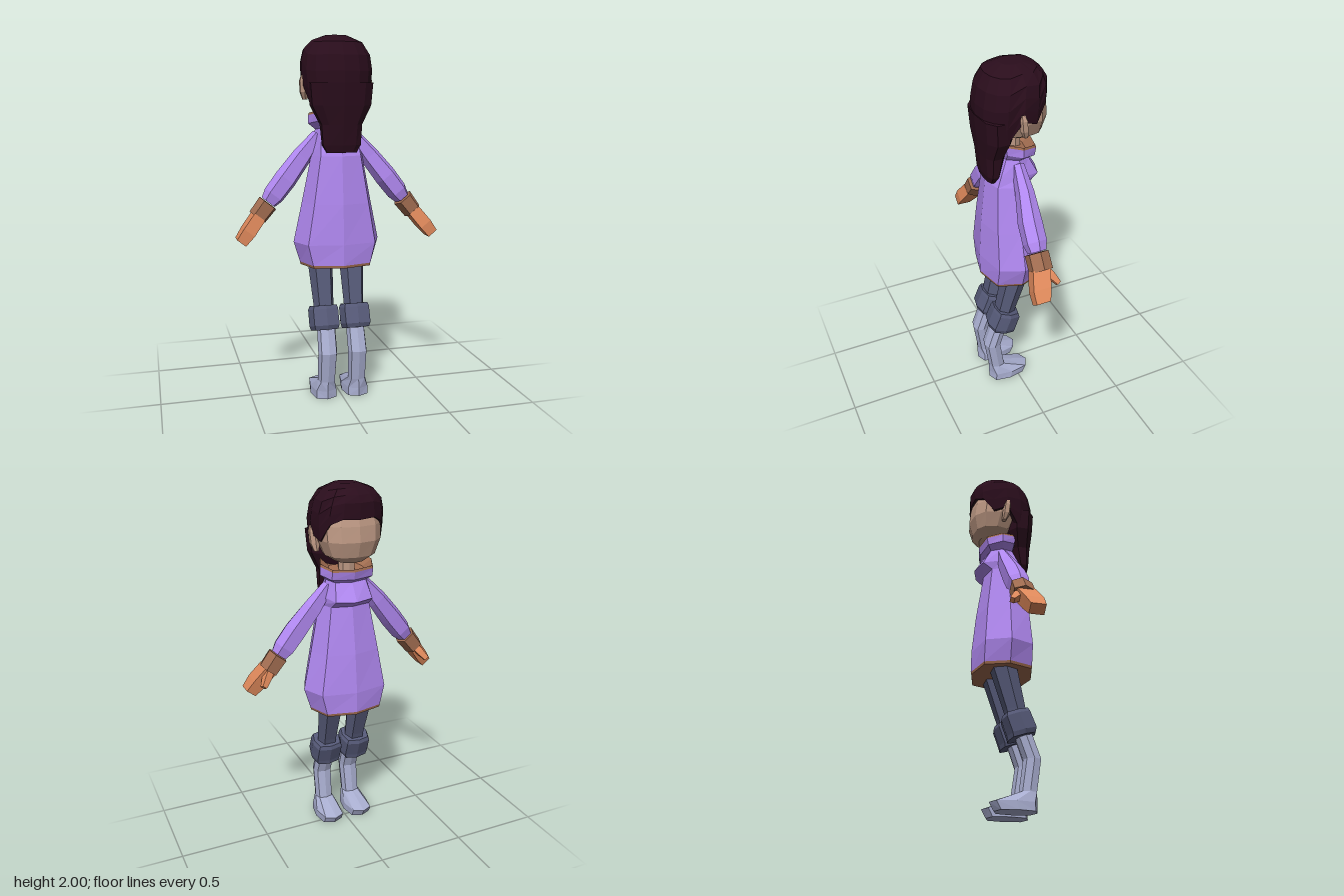
import * as THREE from 'three';

const mat = (color) => new THREE.MeshStandardMaterial({ color, flatShading: true, side: THREE.DoubleSide });
const HAIR = mat(0x2a0d1c), SKIN = mat(0xbf9a85), COAT = mat(0xb088f0), TRIM = mat(0xa06c50),
  GLOVE = mat(0xe08a5c), PANTS = mat(0x565a78), BOOT = mat(0xa9aed0);

// Point on a rounded-square outline; pow 1 = ellipse, near 0 = square.
function outline(a, [y, rx, zb, zf, cx = 0, tilt = 0], pow) {
  const q = (v) => (Math.abs(v) < 1e-6 ? 0 : Math.sign(v) * Math.abs(v) ** pow);
  const dz = q(Math.cos(a)) * (zb - zf) / 2;
  return new THREE.Vector3(cx + q(Math.sin(a)) * rx, y + tilt * dz, (zb + zf) / 2 + dz);
}
const ring = (spec, n, pow, phase) =>
  Array.from({ length: n }, (_, i) => outline((i / n) * Math.PI * 2 + phase, spec, pow));

// Skin a stack of closed rings, ordered bottom to top.
function skin(name, material, rings, capBottom = true, capTop = true) {
  const pos = [], tri = (...v) => v.forEach((p) => pos.push(p.x, p.y, p.z));
  const n = rings[0].length;
  const mid = (r) => r.reduce((s, p) => s.add(p), new THREE.Vector3()).divideScalar(n);
  const low = rings[0], top = rings[rings.length - 1], cl = mid(low), ct = mid(top);
  for (let i = 0; i < n; i++) {
    const j = (i + 1) % n;
    for (let k = 0; k + 1 < rings.length; k++) {
      const a = rings[k], b = rings[k + 1];
      tri(a[i], a[j], b[j]);
      tri(a[i], b[j], b[i]);
    }
    if (capBottom) tri(low[j], low[i], cl);
    if (capTop) tri(top[i], top[j], ct);
  }
  const g = new THREE.BufferGeometry();
  g.setAttribute('position', new THREE.Float32BufferAttribute(pos, 3));
  g.computeVertexNormals();
  const m = new THREE.Mesh(g, material);
  m.name = name;
  return m;
}
// Ring spec: [y, half width, back z, face-side z, centre x, tilt]
const loft = (name, material, specs, { n = 8, pow = 0.75, phase = 0, bottom = true, top = true } = {}) =>
  skin(name, material, specs.map((s) => ring(s, n, pow, phase)), bottom, top);
const box = { n: 4, pow: 0.01, phase: Math.PI / 4 };

// Hair cap: columns hang to different heights, shaping fringe and sides.
function hairCap() {
  const prof = [[1.6, .165, .172, -.17], [1.75, .19, .185, -.18], [1.85, .196, .178, -.185],
    [1.93, .175, .155, -.185], [1.98, .125, .115, -.145], [2, .06, .05, -.07]];
  const at = (y) => {
    let k = 0;
    while (k < prof.length - 2 && y > prof[k + 1][0]) k++;
    const t = (y - prof[k][0]) / (prof[k + 1][0] - prof[k][0]);
    return prof[k].map((v, i) => v + (prof[k + 1][i] - v) * t);
  };
  const hem = [1.62, 1.62, 1.62, 1.63, 1.75, 1.72, 1.81, 1.84, 1.835];
  const row = (t, shrink) => Array.from({ length: 16 }, (_, i) => {
    const yb = hem[Math.min(i, 16 - i)];
    const p = outline((i / 16) * Math.PI * 2, at(yb + (2 - yb) * t), 0.85);
    return p.set(p.x * shrink, p.y, p.z * shrink);
  });
  const rows = [0, .25, .5, .72, .9, 1].map((t) => row(t, 1));
  return skin('hairCap', HAIR, [row(0, .86), ...rows], false, true);
}

function arm() {
  const g = new THREE.Group();
  g.add(loft('sleeve', COAT, [[-.41, .045, .06, -.035], [-.36, .06, .072, -.05], [-.25, .063, .068, -.052],
    [-.1, .055, .04, -.052], [.05, .035, .02, -.04]], { n: 6, phase: Math.PI / 6 }));
  g.add(loft('sleeveCuff', TRIM, [[-.51, .053, .08, -.043], [-.415, .058, .078, -.043]], { n: 6, phase: Math.PI / 6 }));
  g.add(loft('hand', GLOVE, [[-.67, .03, .1, .02], [-.6, .036, .1, 0], [-.5, .035, .075, -.025]], box));
  const thumb = loft('thumb', GLOVE, [[-.1, .014, .012, -.012], [-.04, .02, .02, -.02], [0, .02, .02, -.02]], box);
  thumb.position.set(0, -.51, -.005);
  thumb.rotation.x = .55;
  g.add(thumb);
  g.position.set(.13, 1.43, 0);
  g.rotation.z = .67;
  return g;
}

function leg() {
  const g = new THREE.Group();
  g.add(loft('thigh', PANTS, [[.45, .055, .135, .02, .088], [.53, .058, .115, 0, .088], [.8, .074, .06, -.09, .092]],
    { n: 6, phase: Math.PI / 6 }));
  g.add(loft('kneeCuff', PANTS, [[.385, .078, .165, .02, .09, .3], [.41, .087, .17, .015, .09, .3],
    [.495, .087, .135, -.015, .09, .3], [.515, .078, .125, -.01, .09, .3]], { pow: .6 }));
  g.add(loft('boot', BOOT, [[0, .073, .17, -.055, .092], [.045, .072, .17, -.08, .092], [.1, .05, .17, .075, .088],
    [.27, .054, .195, .1, .086], [.4, .052, .15, .055, .084]], { pow: .7 }));
  return g;
}

export function createModel() {
  const model = new THREE.Group();
  model.name = 'girl';

  // Coat: flared skirt, chest fold and standing collar
  model.add(loft('coat', COAT, [[.765, .21, .175, -.163], [.88, .245, .175, -.163], [1.1, .198, .162, -.14],
    [1.36, .145, .135, -.1], [1.41, .137, .118, -.155, 0, .1], [1.5, .115, .07, -.095, 0, .1],
    [1.53, .152, .08, -.12, 0, .2], [1.575, .152, .09, -.13, 0, .2]], { bottom: false, top: false }));
  model.add(loft('coatHem', TRIM, [[.75, .206, .173, -.161], [.765, .21, .175, -.163]], { top: false }));
  model.add(loft('collarLining', TRIM, [[1.575, .152, .09, -.13, 0, .2], [1.588, .148, .088, -.126, 0, .2],
    [1.55, .1, .05, -.08, 0, .2]], { top: true, bottom: false }));

  // Head
  model.add(loft('neck', SKIN, [[1.5, .045, .015, -.06], [1.65, .045, .015, -.06]]));
  model.add(loft('head', SKIN, [[1.605, .075, .02, -.13], [1.64, .135, .07, -.168], [1.72, .168, .12, -.19],
    [1.8, .172, .13, -.182], [1.87, .16, .13, -.165], [1.94, .11, .08, -.12]], { n: 12, pow: .85 }));
  model.add(hairCap());
  model.add(loft('longHair', HAIR, [[1.38, .085, .145, .1], [1.42, .108, .155, .075], [1.53, .116, .166, .045],
    [1.63, .168, .176, .015], [1.75, .178, .185, .01]], { n: 10 }));

  // Mirrored parts
  for (const [side, s] of [['left', 1], ['right', -1]]) {
    const half = new THREE.Group();
    half.name = side + 'Side';
    const ear = loft('ear', SKIN, [[1.66, .014, -.005, -.03, .17], [1.7, .026, .015, -.028, .175],
      [1.76, .028, .022, -.022, .177], [1.79, .018, .018, -.008, .177]], { n: 6 });
    const a = arm(), l = leg();
    a.name = side + 'Arm';
    l.name = side + 'Leg';
    half.add(ear, a, l);
    half.scale.x = s;
    model.add(half);
  }
  return model;
}
